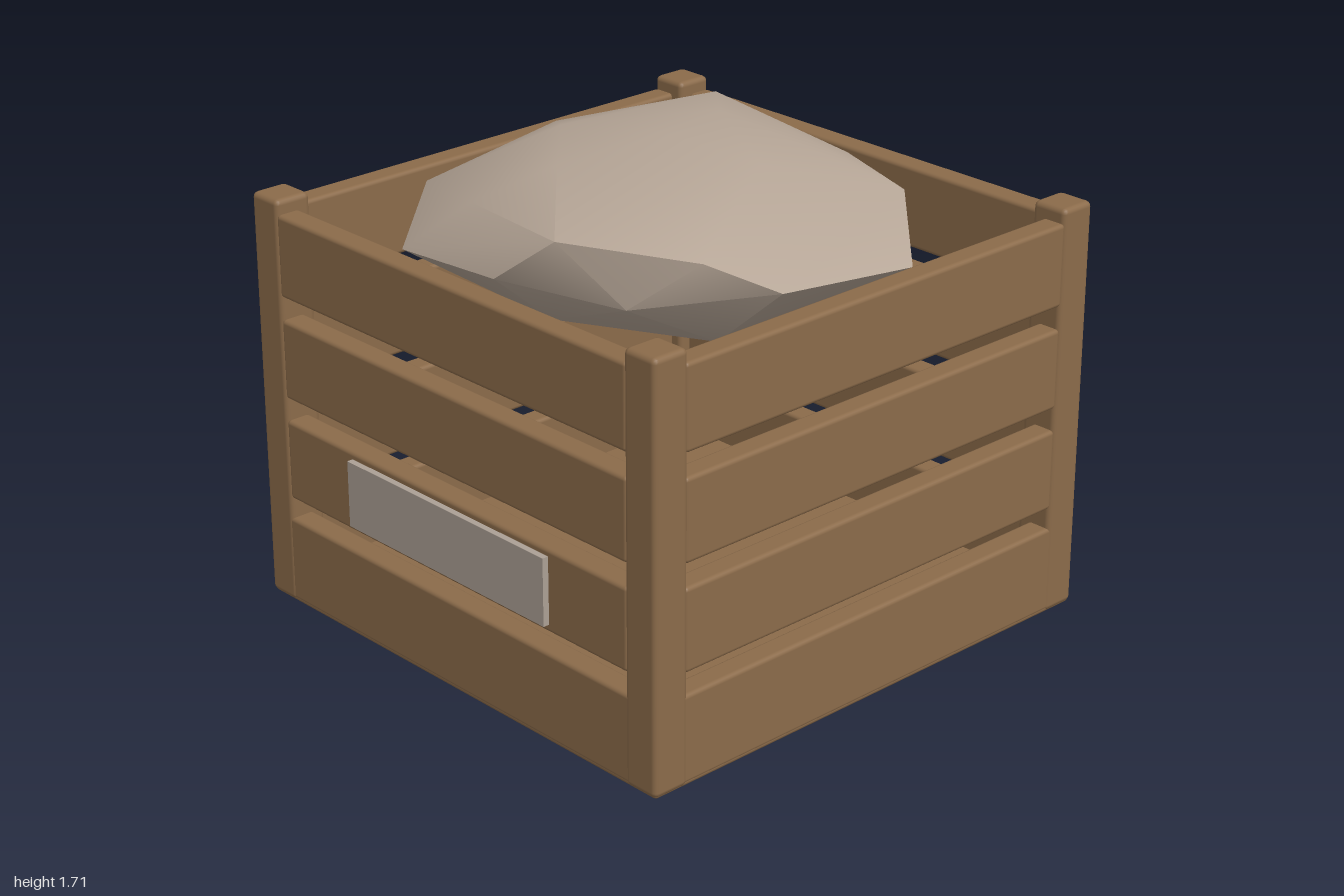
import * as THREE from 'three';
import { toCreasedNormals } from 'three/addons/utils/BufferGeometryUtils.js';
import { RoundedBoxGeometry } from 'three/addons/geometries/RoundedBoxGeometry.js';
import { ConvexGeometry } from 'three/addons/geometries/ConvexGeometry.js';

const wood = new THREE.MeshStandardMaterial({ color: 0x8b6b4a });
wood.name = 'brown wood';
const cloth = new THREE.MeshStandardMaterial({ color: 0xb5a596 });
cloth.name = 'pale cloth';
const plate = new THREE.MeshStandardMaterial({ color: 0xaca095 });
plate.name = 'grey plate';

// Board with softened edges, given by its size and centre
function board(name, size, centre, radius = 0.015) {
  const mesh = new THREE.Mesh(new RoundedBoxGeometry(...size, 2, radius), wood);
  mesh.name = name;
  mesh.position.set(...centre);
  return mesh;
}

export function createModel() {
  const model = new THREE.Group();
  model.name = 'crate';
  const frame = new THREE.Group();
  frame.name = 'crateFrame';
  frame.position.z = -0.01;
  model.add(frame);

  // Floor and corner posts
  frame.add(board('floor', [1.97, 0.09, 1.97], [0, 0.045, 0]));
  for (const x of [-1, 1]) {
    for (const z of [-1, 1]) {
      frame.add(board('cornerPost', [0.14, 1.485, 0.14], [x * 0.92, 0.7475, z * 0.92], 0.02));
    }
  }

  // Four rows of slats on each side
  const rows = [[0.01, 0.325], [0.4, 0.695], [0.775, 1.065], [1.145, 1.44]];
  rows.forEach(([low, high], row) => {
    const length = row === 0 ? 1.975 : 1.72;
    const y = (low + high) / 2;
    for (const side of [-1, 1]) {
      frame.add(board('slat', [length, high - low, 0.09], [0, y, side * 0.942]));
      frame.add(board('sideSlat', [0.09, high - low, length], [side * 0.942, y, 0]));
    }
  });

  // Blank label plate on the front
  const label = new THREE.Mesh(new THREE.BoxGeometry(0.99, 0.24, 0.025), plate);
  label.name = 'labelPlate';
  label.position.set(0, 0.55, 0.9875);
  model.add(label);

  // Lumpy sack resting in the top of the crate
  const lumps = [
    // crown
    [0, 1.71, 0], [-0.42, 1.66, 0.1], [0.38, 1.69, -0.05], [-0.1, 1.67, 0.4], [-0.15, 1.67, -0.38],
    // shoulder
    [0.24, 1.58, 0.71], [0.64, 1.55, 0.45], [0.62, 1.56, -0.48], [-0.5, 1.58, -0.7],
    [-0.62, 1.59, -0.05], [-0.3, 1.54, 0.6], [-0.69, 1.48, 0.47],
    // widest part
    [0, 1.44, -0.86], [-0.89, 1.41, -0.35], [-0.89, 1.38, -0.15], [-0.81, 1.38, 0.25],
    [-0.53, 1.34, 0.71], [0, 1.4, 0.76], [0.45, 1.38, 0.6], [0.79, 1.44, 0.25],
    [0.84, 1.4, -0.29], [0.45, 1.38, -0.64],
    // underside
    [-0.66, 1.22, -0.25], [-0.55, 1.19, 0.3], [0.05, 1.22, 0.56], [0.55, 1.22, 0.3],
    [0.58, 1.22, -0.25], [0.2, 1.2, -0.62], [-0.3, 1.2, -0.6],
    [-0.37, 1.1, 0], [0.1, 1.11, 0.25], [0.15, 1.11, -0.1], [-0.1, 1.1, -0.43], [0, 1.085, 0],
  ];
  const hull = new ConvexGeometry(lumps.map((p) => new THREE.Vector3(...p)));
  const sack = new THREE.Mesh(toCreasedNormals(hull, 0.7), cloth);
  sack.name = 'sack';
  model.add(sack);

  return model;
}
